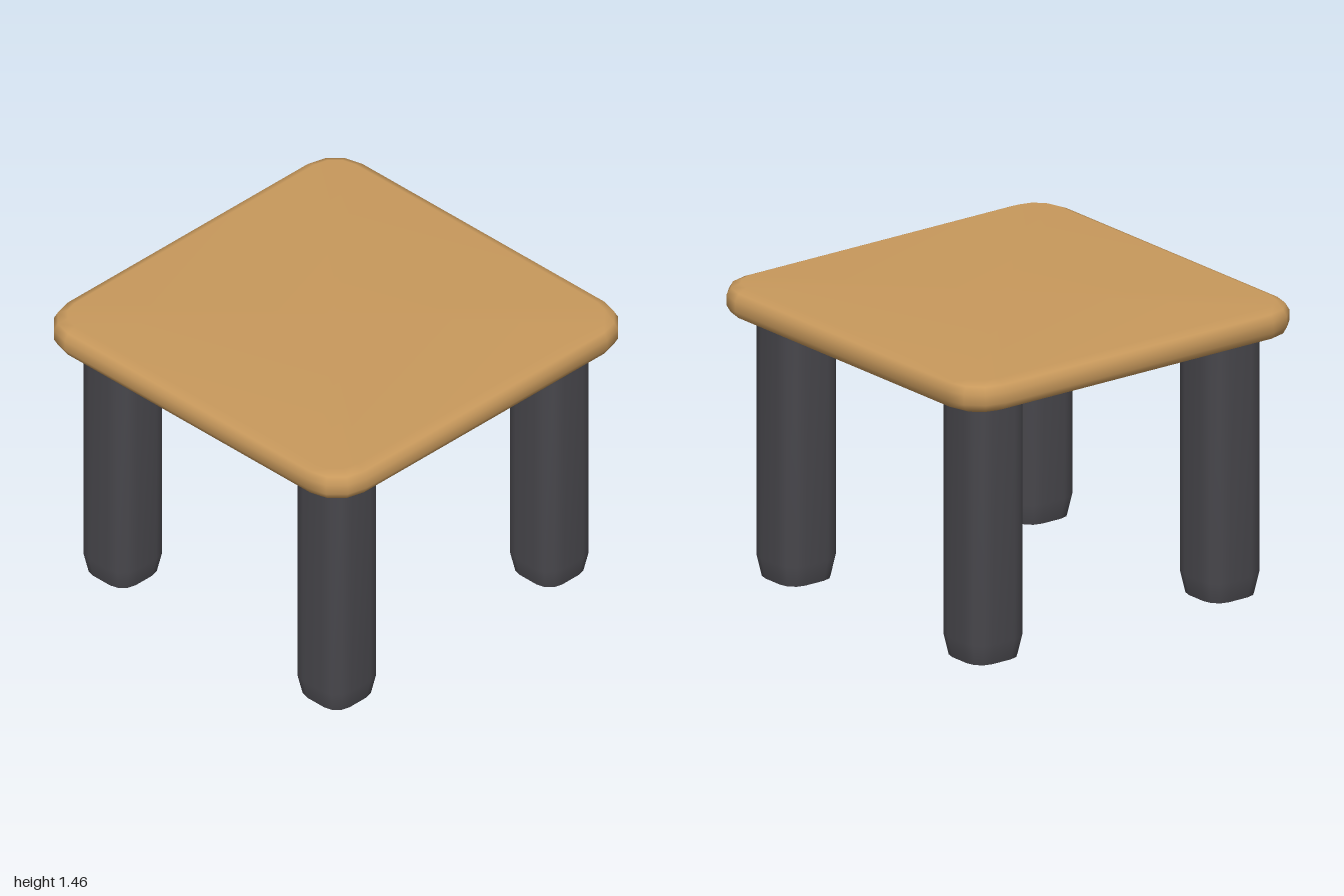
import * as THREE from 'three';

// Outline of a square with rounded corners, three segments per corner
function roundedSquare(half, radius) {
  const points = [];
  for (let corner = 0; corner < 4; corner++) {
    const mid = (corner + 0.5) * Math.PI / 2;
    const cx = Math.sign(Math.cos(mid)) * (half - radius);
    const cz = Math.sign(Math.sin(mid)) * (half - radius);
    for (let s = 0; s <= 3; s++) {
      const a = (corner + s / 3) * Math.PI / 2;
      points.push([cx + radius * Math.cos(a), cz + radius * Math.sin(a)]);
    }
  }
  return points;
}

// Skin rounded squares stacked from bottom to top and close both ends
function loft(sections, sharpCaps) {
  const positions = [], index = [], n = 16;
  const addRing = ({ half, radius, y }) => {
    const start = positions.length / 3;
    for (const [x, z] of roundedSquare(half, radius)) positions.push(x, y, z);
    return start;
  };
  const rings = sections.map(addRing);
  for (let r = 0; r < rings.length - 1; r++) {
    for (let i = 0; i < n; i++) {
      const j = (i + 1) % n;
      const a = rings[r] + i, b = rings[r] + j;
      const c = rings[r + 1] + i, d = rings[r + 1] + j;
      index.push(a, c, b, b, c, d);
    }
  }
  const last = sections.length - 1;
  for (const k of [0, last]) {
    const ring = sharpCaps ? addRing(sections[k]) : rings[k];
    const centre = positions.length / 3;
    positions.push(0, sections[k].y, 0);
    for (let i = 0; i < n; i++) {
      const j = (i + 1) % n;
      if (k === 0) index.push(centre, ring + i, ring + j);
      else index.push(centre, ring + j, ring + i);
    }
  }
  const geometry = new THREE.BufferGeometry();
  geometry.setAttribute('position', new THREE.Float32BufferAttribute(positions, 3));
  geometry.setIndex(index);
  geometry.computeVertexNormals();
  return geometry;
}

export function createModel() {
  const group = new THREE.Group();
  group.name = 'table';

  const wood = new THREE.MeshStandardMaterial({ color: 0xc8995c });
  wood.name = 'warm wood';
  const dark = new THREE.MeshStandardMaterial({ color: 0x48474c });
  dark.name = 'dark grey';

  // Table top with a rounded rim: [inset, height]
  const rim = [[0.067, 1.295], [0.02, 1.315], [0, 1.35], [0, 1.4], [0.02, 1.435], [0.067, 1.455]];
  const top = new THREE.Mesh(
    loft(rim.map(([inset, y]) => ({ half: 1 - inset, radius: 0.2 - inset, y })), false), wood);
  top.name = 'tableTop';
  group.add(top);

  // Four legs with tapered feet
  const legGeometry = loft([
    { half: 0.14, radius: 0.085, y: 0 },
    { half: 0.162, radius: 0.1, y: 0.105 },
    { half: 0.162, radius: 0.1, y: 1.31 },
  ], true);
  for (const [name, x, z] of [
    ['frontLeftLeg', 1, 1], ['frontRightLeg', -1, 1],
    ['backLeftLeg', 1, -1], ['backRightLeg', -1, -1],
  ]) {
    const leg = new THREE.Mesh(legGeometry, dark);
    leg.name = name;
    leg.position.set(0.708 * x, 0, 0.708 * z);
    group.add(leg);
  }
  return group;
}
